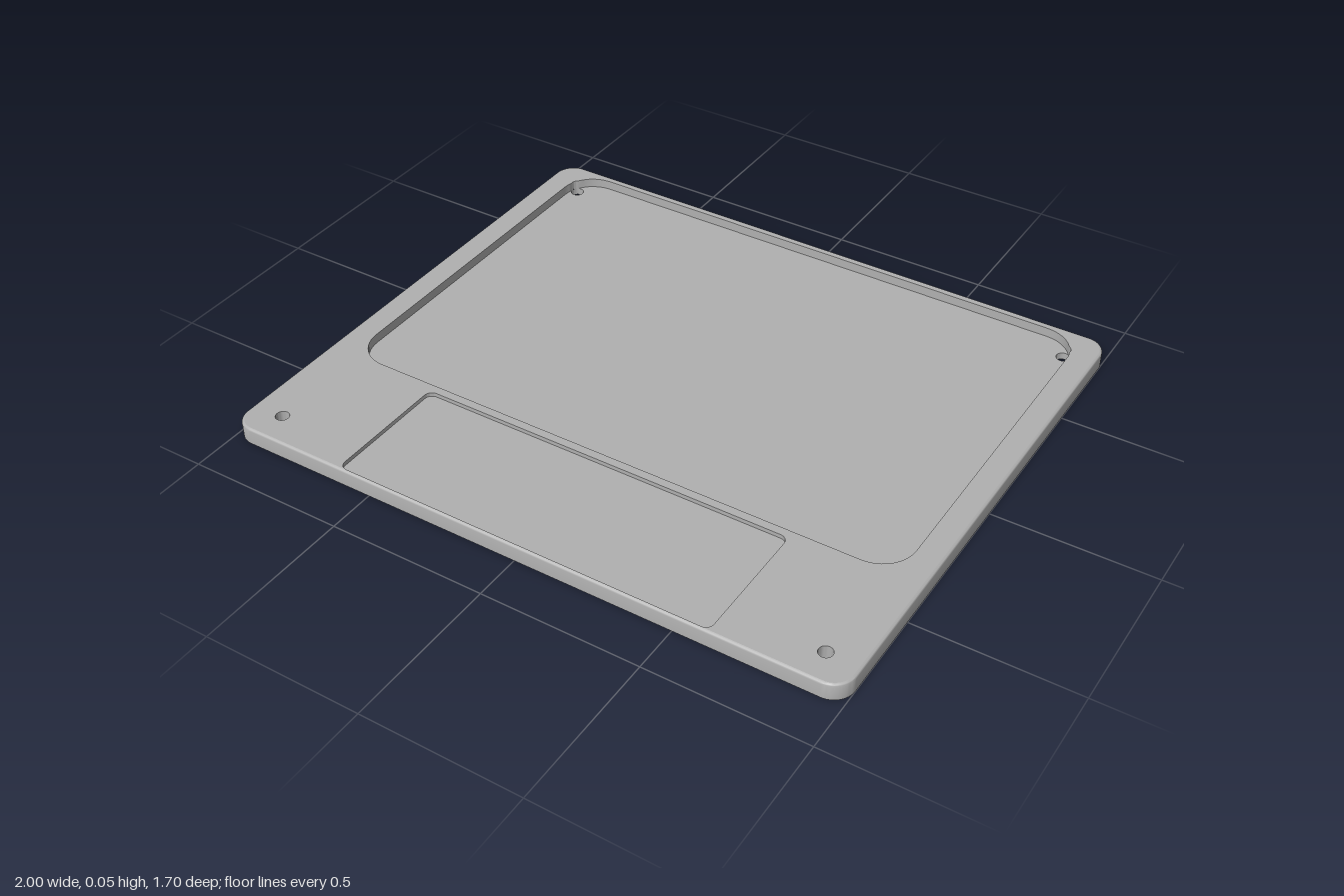
import * as THREE from 'three';
import { toCreasedNormals } from 'three/addons/utils/BufferGeometryUtils.js';

const H = 0.053, FLOOR = 0.023, LEDGE = 0.04;   // plate top, large recess floor, small recess floor
const FILLET = 0.008, HOLE_R = 0.021, HOLE_X = 0.895, HOLE_Z = 0.752;

// Points along an arc (plan coordinates: x right, y towards the back)
function arc(cx, cy, r, a0, a1, n) {
  return Array.from({ length: n + 1 }, (_, i) => {
    const a = a0 + (a1 - a0) * i / n;
    return new THREE.Vector2(cx + r * Math.cos(a), cy + r * Math.sin(a));
  });
}

// Counter-clockwise rounded rectangle. bite = 1 bulges the back corners out
// around the screw holes, bite = -1 cuts the holes out of them.
function outline(hx, y0, y1, r, bite = 0) {
  const corners = [[hx - r, y1 - r], [r - hx, y1 - r], [r - hx, y0 + r], [hx - r, y0 + r]];
  return corners.flatMap(([cx, cy], i) => {
    const start = i * Math.PI / 2, end = start + Math.PI / 2;
    if (!bite || i > 1) return arc(cx, cy, r, start, end, 12);
    const hxx = Math.sign(cx) * HOLE_X, hyy = HOLE_Z;
    const d = Math.hypot(hxx - cx, hyy - cy), phi = Math.atan2(hyy - cy, hxx - cx);
    const alpha = Math.acos((r * r + d * d - HOLE_R * HOLE_R) / (2 * r * d));
    const beta = Math.acos((r * Math.cos(alpha) - d) / HOLE_R);
    const sweep = bite > 0 ? beta : beta - 2 * Math.PI;
    return [
      ...arc(cx, cy, r, start, phi - alpha, 6),
      ...arc(hxx, hyy, HOLE_R, phi - beta, phi - beta + (bite > 0 ? 2 * sweep : 2 * sweep + 2 * Math.PI), 16).slice(1, -1),
      ...arc(cx, cy, r, phi + alpha, end, 6),
    ];
  });
}

// Horizontal face with holes, looking up or down
function face(points, holes, y, down = false) {
  const shape = new THREE.Shape(points);
  shape.holes = holes.map(h => new THREE.Path(h));
  const g = new THREE.ShapeGeometry(shape);
  g.rotateX(-Math.PI / 2).translate(0, y, 0);
  if (down) {
    const ix = g.index.array;
    for (let i = 0; i < ix.length; i += 3) [ix[i], ix[i + 1]] = [ix[i + 1], ix[i]];
    g.computeVertexNormals();
  }
  return g;
}

// Closed wall through stacked rings of equal point count
function wall(rings, inward = false) {
  const pos = [], index = [], n = rings[0].points.length;
  for (const { points, y } of rings) {
    const list = inward ? [...points].reverse() : points;
    for (const p of list) pos.push(p.x, y, -p.y);
  }
  for (let k = 0; k < rings.length - 1; k++) {
    for (let i = 0; i < n; i++) {
      const a = k * n + i, b = k * n + (i + 1) % n;
      index.push(a, b, b + n, a, b + n, a + n);
    }
  }
  const g = new THREE.BufferGeometry();
  g.setAttribute('position', new THREE.Float32BufferAttribute(pos, 3));
  g.setIndex(index);
  return toCreasedNormals(g, 0.6);
}

export function createModel() {
  const group = new THREE.Group();
  const grey = new THREE.MeshStandardMaterial({ color: 0xb0b0b0 });
  grey.name = 'grey';
  const add = (name, geometry) => {
    const mesh = new THREE.Mesh(geometry, grey);
    mesh.name = name;
    group.add(mesh);
  };

  // Plan outlines
  const body = inset => outline(1 - inset, -0.85 + inset, 0.85 - inset, 0.065 - inset);
  const recess = bite => outline(0.92, -0.405, 0.825, 0.11, bite);
  const smallRecess = outline(0.607, -0.841, -0.432, 0.025);
  const hole = (x, z) => arc(x, -z, HOLE_R, 0, 2 * Math.PI, 28).slice(0, -1);
  const frontHoles = [-1, 1].map(s => hole(s * HOLE_X, HOLE_Z));
  const backHoles = [-1, 1].map(s => hole(s * HOLE_X, -HOLE_Z));

  // Outer side with a small rounded top edge
  const rings = [{ points: body(0), y: 0 }];
  for (let i = 0; i <= 4; i++) {
    const a = i / 4 * Math.PI / 2;
    rings.push({ points: body(FILLET * (1 - Math.cos(a))), y: H - FILLET + FILLET * Math.sin(a) });
  }
  add('outerSide', wall(rings));

  // Flat faces
  add('underside', face(body(0), [...frontHoles, ...backHoles], 0, true));
  add('topFace', face(body(FILLET), [recess(1), smallRecess, ...frontHoles], H));
  add('largeRecessFloor', face(recess(-1), [], FLOOR));
  add('smallRecessFloor', face(smallRecess, [], LEDGE));

  // Recess walls and screw holes
  const inner = (name, points, y0, y1) =>
    add(name, wall([{ points, y: y0 }, { points, y: y1 }], true));
  inner('largeRecessWall', recess(1), FLOOR, H);
  inner('smallRecessWall', smallRecess, LEDGE, H);
  frontHoles.forEach(h => inner('frontScrewHole', h, 0, H));
  backHoles.forEach(h => inner('backScrewHole', h, 0, FLOOR));

  // Ledges left where the back screw holes reach beyond the recess are open through the plate
  return group;
}
